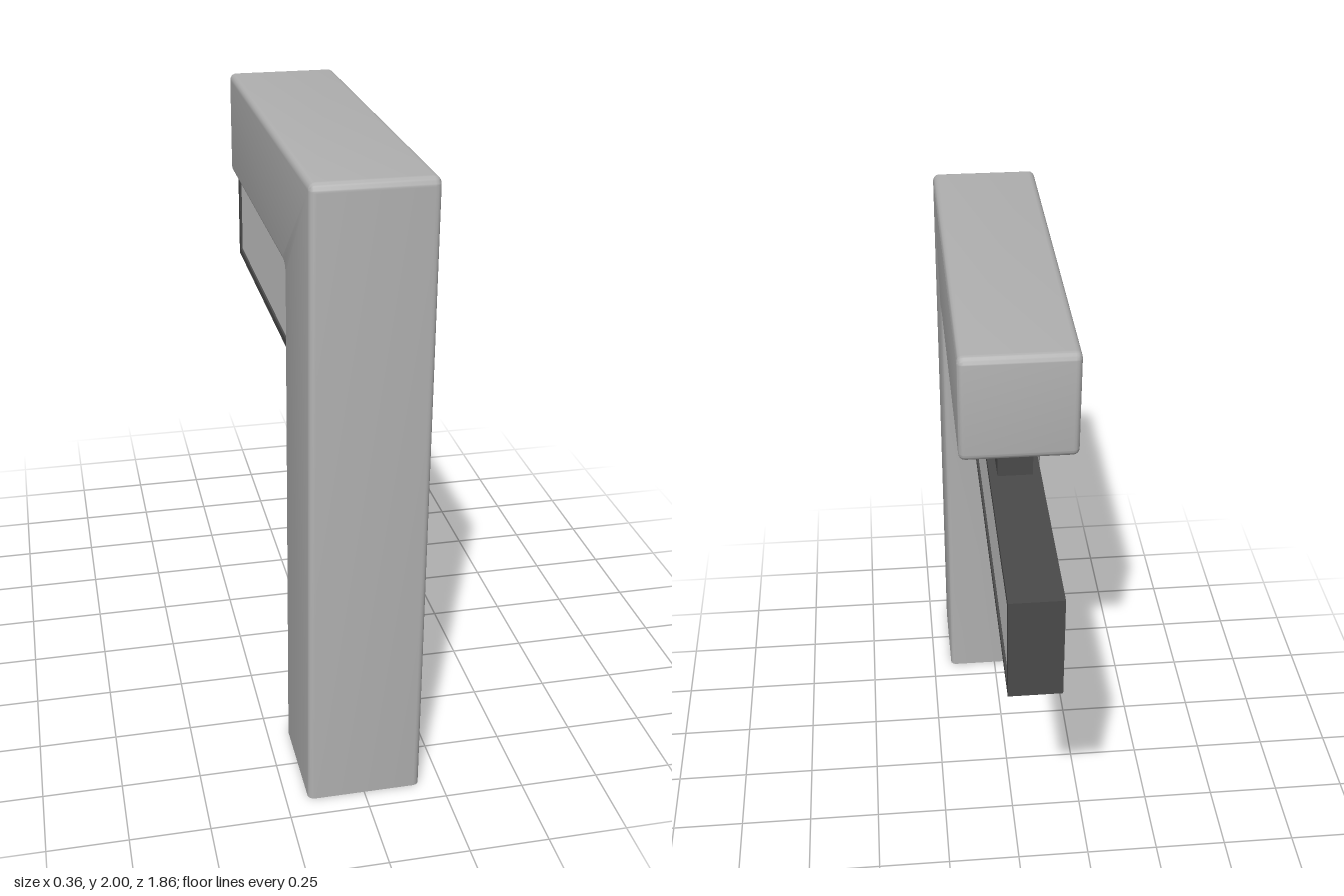
import * as THREE from 'three';
import { toCreasedNormals } from 'three/addons/utils/BufferGeometryUtils.js';

const material = (color) => new THREE.MeshStandardMaterial({ color });

function addMesh(parent, name, geometry, mat, x = 0, y = 0, z = 0) {
  const mesh = new THREE.Mesh(geometry, mat);
  mesh.name = name;
  mesh.position.set(x, y, z);
  parent.add(mesh);
  return mesh;
}

// Extrudes a side profile drawn in (z, y) across x, centred on x = 0.
function extrudeAcross(shape, width, bevel) {
  const geometry = new THREE.ExtrudeGeometry(shape, {
    depth: width - 2 * bevel,
    bevelEnabled: bevel > 0,
    bevelThickness: bevel,
    bevelSize: bevel,
    bevelOffset: -bevel,
    bevelSegments: 4,
    curveSegments: 5,
  });
  geometry.translate(0, 0, bevel - width / 2);
  geometry.rotateY(-Math.PI / 2);
  return geometry;
}

function rectangle(path, z0, z1, y0, y1) {
  path.moveTo(z0, y0);
  path.lineTo(z1, y0);
  path.lineTo(z1, y1);
  path.lineTo(z0, y1);
  path.closePath();
  return path;
}

// L-shaped post and arm with softened edges and a flat foot
function postGeometry() {
  const front = 0.93, inner = 0.57, tip = -0.435, top = 2, under = 1.655, r = 0.026;
  const s = new THREE.Shape();
  s.moveTo(inner, 0);
  s.lineTo(front, 0);
  s.lineTo(front, top - r);
  s.absarc(front - r, top - r, r, 0, Math.PI / 2);
  s.lineTo(tip + r, top);
  s.absarc(tip + r, top - r, r, Math.PI / 2, Math.PI);
  s.lineTo(tip, under + r);
  s.absarc(tip + r, under + r, r, Math.PI, Math.PI * 1.5);
  s.lineTo(inner - r, under);
  s.absarc(inner - r, under - r, r, Math.PI / 2, 0, true);
  s.closePath();

  const geometry = extrudeAcross(s, 0.36, 0.02);
  // Flatten the bevel at the foot
  const p = geometry.attributes.position;
  for (let i = 0; i < p.count; i++) if (p.getY(i) < 0.1) p.setY(i, 0);
  return toCreasedNormals(geometry, 0.7);
}

export function createModel() {
  const model = new THREE.Group();
  model.name = 'hangingSignPost';
  const postGrey = material(0xb0b0b0);
  const dark = material(0x4a4a4a);
  const pale = material(0xcccccc);

  addMesh(model, 'postAndArm', postGeometry(), postGrey);

  // Two short hangers under the arm
  for (const [name, z] of [['frontHanger', 0.295], ['backHanger', -0.245]]) {
    addMesh(model, name, new THREE.BoxGeometry(0.11, 0.17, 0.114), dark, 0, 1.585, z);
  }

  // Sign: dark frame around a pale panel showing on both sides
  const sign = new THREE.Group();
  sign.name = 'sign';
  model.add(sign);
  const outline = rectangle(new THREE.Shape(), -0.93, 0.43, 1.175, 1.515);
  outline.holes.push(rectangle(new THREE.Path(), -0.9, 0.4, 1.2, 1.49));
  addMesh(sign, 'signFrame', extrudeAcross(outline, 0.16, 0), dark);
  addMesh(sign, 'signPanel', new THREE.BoxGeometry(0.146, 0.29, 1.3), pale, 0, 1.345, -0.25);

  return model;
}
